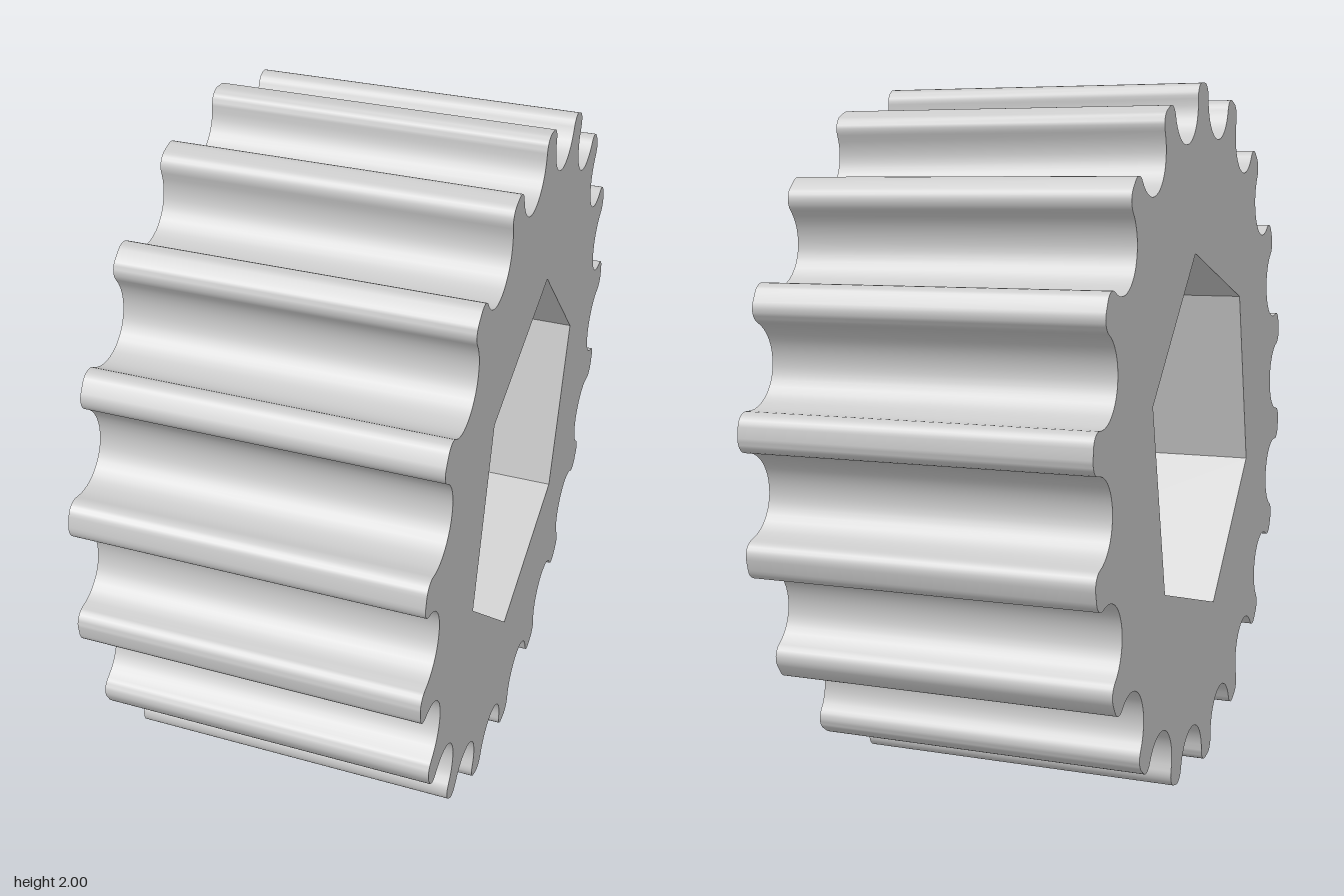
import * as THREE from 'three';
import { toCreasedNormals } from 'three/addons/utils/BufferGeometryUtils.js';

const rad = THREE.MathUtils.degToRad;
const TEETH = 18;
const WIDTH = 0.945;
const GROOVE_R = 0.115, GROOVE_AT = 0.97;  // round tooth space and its pitch radius
const FILLET_R = 0.04, FILLET_AT = 0.962;  // rounded tooth tip corners

// Points along an arc, from angle a to angle b
function arc(cx, cy, r, a, b, n) {
  return Array.from({ length: n + 1 }, (_, i) => {
    const t = a + (b - a) * i / n;
    return new THREE.Vector2(cx + r * Math.cos(t), cy + r * Math.sin(t));
  });
}

// One tooth space centred on +x: tip corner, round groove, tip corner
function toothSpace() {
  const reach = GROOVE_R + FILLET_R;
  const d = Math.acos((GROOVE_AT ** 2 + FILLET_AT ** 2 - reach ** 2) / (2 * GROOVE_AT * FILLET_AT));
  const fx = FILLET_AT * Math.cos(d), fy = FILLET_AT * Math.sin(d);
  const b = Math.atan2(fy, GROOVE_AT - fx);
  return [
    ...arc(fx, -fy, FILLET_R, -d, b, 7),
    ...arc(GROOVE_AT, 0, GROOVE_R, Math.PI + b, Math.PI - b, 18).slice(1, -1),
    ...arc(fx, fy, FILLET_R, -b, d, 7),
  ];
}

export function createModel() {
  const group = new THREE.Group();
  group.name = 'toothedPulley';

  // Toothed outline
  const origin = new THREE.Vector2();
  const space = toothSpace();
  const outline = [];
  for (let i = 0; i < TEETH; i++) {
    const turn = rad(-4.1) + i * 2 * Math.PI / TEETH;
    outline.push(...space.map(p => p.clone().rotateAround(origin, turn)));
  }
  const shape = new THREE.Shape(outline);

  // Hexagonal bore
  const hex = arc(0, 0, 0.547, rad(16.2), rad(16.2 + 300), 5);
  shape.holes.push(new THREE.Path(hex.reverse()));

  // Extrude along the axle, which lies on x
  const geometry = new THREE.ExtrudeGeometry(shape, { depth: WIDTH, bevelEnabled: false });
  geometry.translate(0, 0, -WIDTH / 2);
  geometry.rotateY(Math.PI / 2);
  geometry.translate(0, 1, 0);

  const gear = new THREE.Mesh(
    toCreasedNormals(geometry, rad(35)),
    new THREE.MeshStandardMaterial({ color: 0xcccccc })
  );
  gear.name = 'gearBody';
  group.add(gear);
  return group;
}
